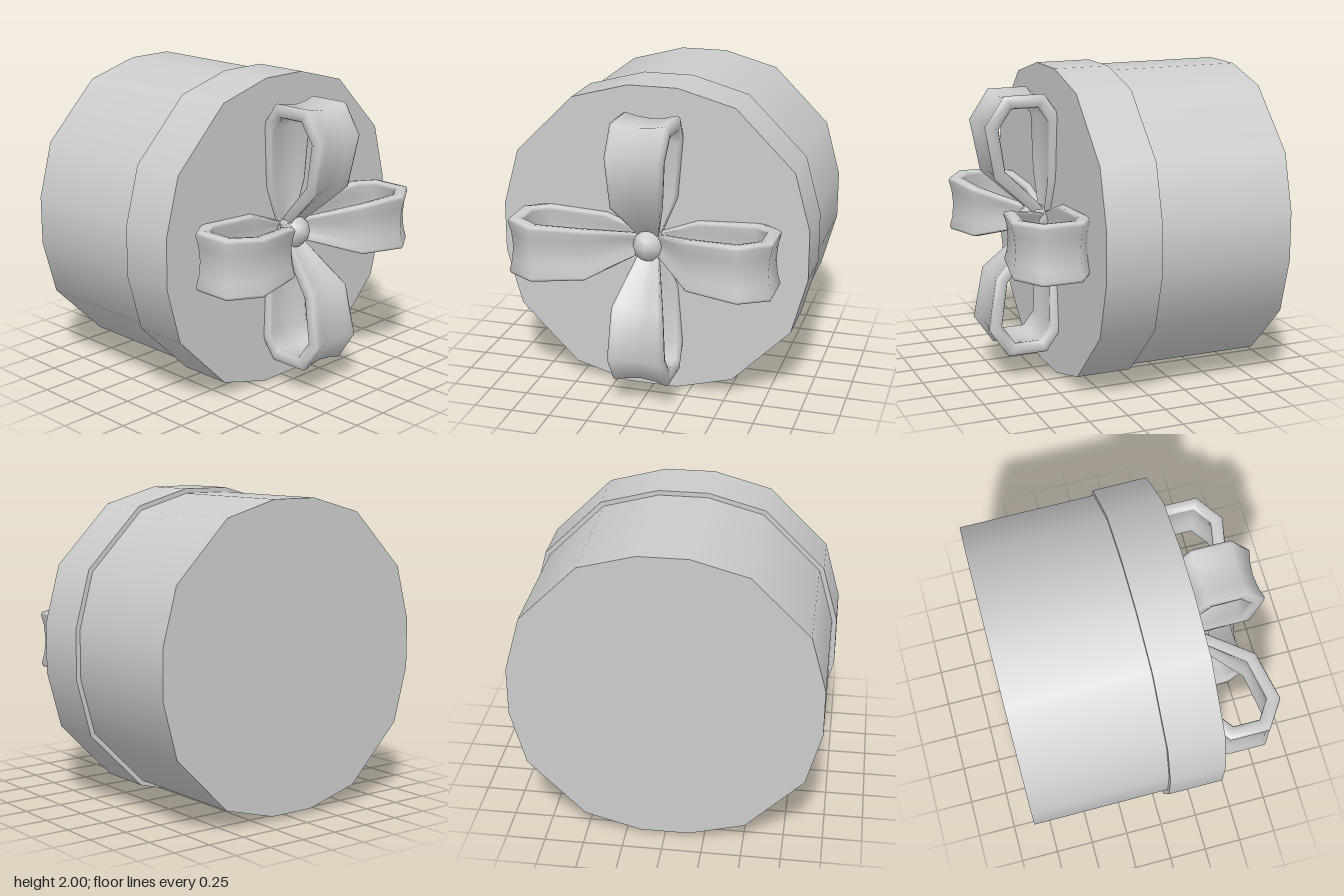
import * as THREE from 'three';

const material = new THREE.MeshStandardMaterial({ color: 0xcccccc });

// Drum along z with sixteen slightly uneven sides, smooth around and flat at the ends
function drum(name, scale, zBack, zFront) {
  const corners = [[1, 0.16], [0.9, 0.525], [0.525, 0.9], [0.16, 1]];
  const geo = new THREE.CylinderGeometry(1, 1, zFront - zBack, 16, 1, false, Math.PI / 16);
  geo.rotateX(Math.PI / 2);
  const p = geo.attributes.position;
  for (let i = 0; i < p.count; i++) {
    const x = p.getX(i), y = p.getY(i);
    if (Math.hypot(x, y) < 0.5) continue; // cap centre
    const k = Math.floor(Math.atan2(Math.abs(y), Math.abs(x)) / (Math.PI / 8));
    p.setXY(i, Math.sign(x) * corners[k][0] * scale, Math.sign(y) * corners[k][1] * scale);
  }
  const mesh = new THREE.Mesh(geo, material);
  mesh.name = name;
  mesh.position.set(0, 1, (zBack + zFront) / 2);
  return mesh;
}

// Ribbon loop pointing along +x: a thick-edged band swept along a bent path
function ribbonLoop(lean) {
  // distance from the knot, z, half width, half thickness
  const path = [
    [0.02, 0.4, 0.05, 0.03], [0.3, 0.395, 0.16, 0.04], [0.68, 0.4, 0.185, 0.042],
    [0.8, 0.49, 0.19, 0.042], [0.8, 0.705, 0.19, 0.042], [0.645, 0.81, 0.185, 0.042],
    [0.34, 0.755, 0.165, 0.04], [0.1, 0.5, 0.075, 0.035], [0.04, 0.44, 0.05, 0.03],
  ];
  // across the band, through the band
  const section = [
    [1, 0], [0.96, 0.8], [0.86, 1], [0.5, 0.6], [0, 0.4], [-0.5, 0.6], [-0.86, 1], [-0.96, 0.8],
    [-1, 0], [-0.96, -0.8], [-0.86, -1], [-0.5, -0.6], [0, -0.4], [0.5, -0.6], [0.86, -1], [0.96, -0.8],
  ];
  const dir = (a, b) => new THREE.Vector2(b[0] - a[0], b[1] - a[1]).normalize();
  const n = section.length, last = path.length - 1, pos = [], index = [];
  path.forEach(([r, z, w, t], i) => {
    const before = dir(path[Math.max(i - 1, 0)], path[Math.max(i, 1)]);
    const after = dir(path[Math.min(i, last - 1)], path[Math.min(i + 1, last)]);
    const mid = before.clone().add(after).normalize();
    const miter = t / mid.dot(before);
    for (const [u, v] of section) {
      pos.push(r + mid.y * v * miter, u * w + lean * r, z - mid.x * v * miter);
    }
    if (i === last) return;
    for (let j = 0; j < n; j++) {
      const a = i * n + j, b = i * n + (j + 1) % n;
      index.push(a, a + n, b, b, a + n, b + n);
    }
  });
  const geo = new THREE.BufferGeometry();
  geo.setAttribute('position', new THREE.Float32BufferAttribute(pos, 3));
  geo.setIndex(index);
  geo.computeVertexNormals();
  return new THREE.Mesh(geo, material);
}

export function createModel() {
  const model = new THREE.Group();
  model.name = 'giftBox';
  model.add(drum('boxBody', 0.97, -0.855, 0.05));
  model.add(drum('lid', 1, 0.03, 0.39));

  // Bow of four loops around a knot
  const bow = new THREE.Group();
  bow.name = 'bow';
  bow.position.y = 1.01;
  ['leftLoop', 'topLoop', 'rightLoop', 'bottomLoop'].forEach((name, k) => {
    const loop = ribbonLoop([-0.012, -0.021, 0.012, 0.021][k]);
    loop.name = name;
    loop.rotation.z = k * Math.PI / 2;
    bow.add(loop);
  });
  const knot = new THREE.Mesh(new THREE.SphereGeometry(0.108, 8, 6), material);
  knot.name = 'knot';
  knot.position.z = 0.48;
  bow.add(knot);
  model.add(bow);
  return model;
}
